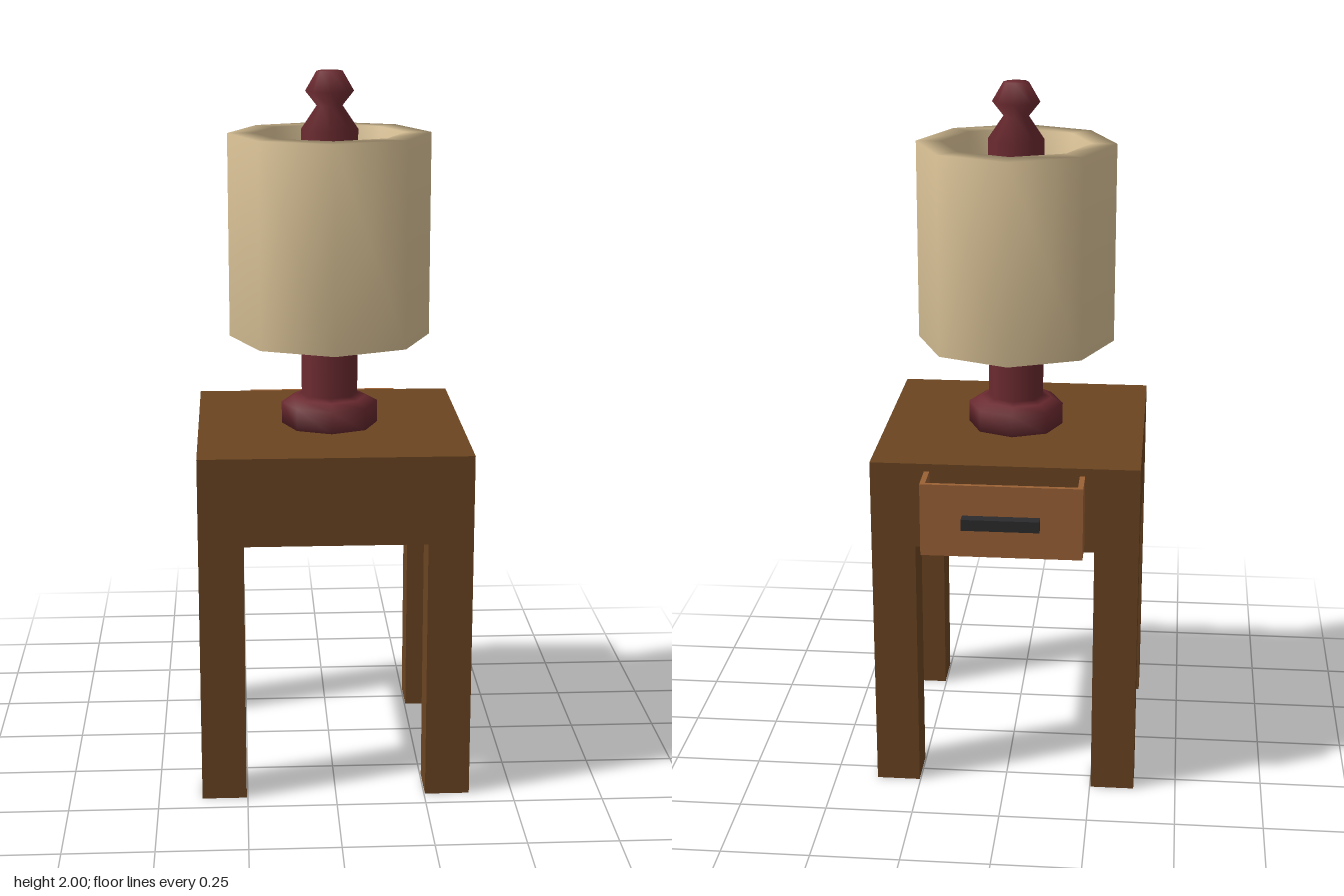
import * as THREE from 'three';

const mat = (color) => new THREE.MeshStandardMaterial({ color });

export function createModel() {
  const model = new THREE.Group();
  const wood = mat(0x6b4521), drawerWood = mat(0x9b6136), metal = mat(0x2b2b2d);
  const lampRed = mat(0x6b2a30), cloth = mat(0xdcc498);
  const cz = 0.065; // centre of the table and the lamp

  // box given by its two extreme corners
  function box(name, material, [x0, y0, z0], [x1, y1, z1], parent) {
    const mesh = new THREE.Mesh(new THREE.BoxGeometry(x1 - x0, y1 - y0, z1 - z0), material);
    mesh.position.set((x0 + x1) / 2, (y0 + y1) / 2, (z0 + z1) / 2);
    mesh.name = name;
    parent.add(mesh);
  }

  // eight-sided turned part
  function turned(name, material, profile, parent) {
    const points = profile.map(([r, y]) => new THREE.Vector2(r, y));
    const mesh = new THREE.Mesh(new THREE.LatheGeometry(points, 8), material);
    mesh.name = name;
    parent.add(mesh);
  }

  // table: thick top with four square legs flush at its corners
  const table = new THREE.Group();
  table.name = 'table';
  table.position.z = cz;
  const half = 0.378, leg = 0.125;
  box('tableTop', wood, [-half, 0.747, -half], [half, 0.997, half], table);
  for (const sx of [-1, 1]) for (const sz of [-1, 1]) {
    const x = sx * (half - leg / 2), z = sz * (half - leg / 2);
    box('leg', wood, [x - leg / 2, 0, z - leg / 2], [x + leg / 2, 0.747, z + leg / 2], table);
  }

  // half-open drawer at the back, open on top
  const drawer = new THREE.Group();
  drawer.name = 'drawer';
  const inner = -0.29, face = -0.413;
  box('drawerFront', drawerWood, [-0.225, 0.765, face], [0.225, 0.975, -0.4], drawer);
  box('drawerFloor', drawerWood, [-0.21, 0.765, -0.4], [0.21, 0.78, inner], drawer);
  for (const s of [-1, 1]) {
    const x = s * 0.2175;
    box('drawerSide', drawerWood, [x - 0.0075, 0.765, -0.4], [x + 0.0075, 0.975, inner], drawer);
  }
  box('drawerHandle', metal, [-0.108, 0.855, -0.445], [0.108, 0.887, face], drawer);

  // lamp: base, column and finial in one turned piece, with an open shade
  const lamp = new THREE.Group();
  lamp.name = 'lamp';
  lamp.position.z = cz;
  turned('lampStand', lampRed, [
    [0, 0.995], [0.138, 0.995], [0.138, 1.06], [0.105, 1.077], [0.08, 1.085],
    [0.08, 1.84], [0.036, 1.905], [0.068, 1.945], [0.036, 2], [0, 2],
  ], lamp);
  turned('lampShade', cloth, [
    [0.212, 1.54], [0.212, 1.255], [0.285, 1.255], [0.285, 1.83], [0.212, 1.83], [0.212, 1.54],
  ], lamp);

  model.add(table, drawer, lamp);
  return model;
}
